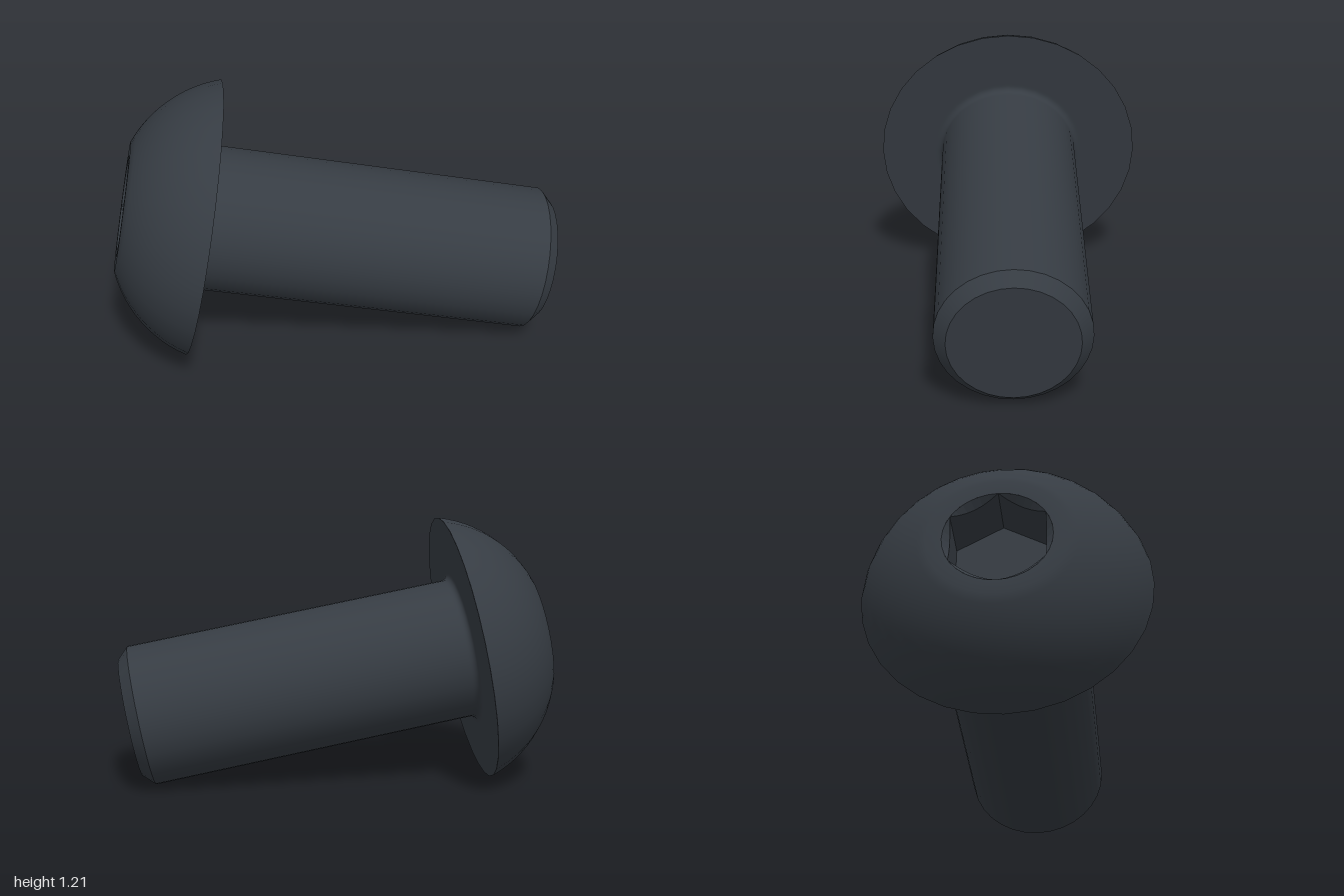
import * as THREE from 'three';

const SEGMENTS = 32;
const HEAD_R = 0.615, HEAD_H = 0.356, SHAFT_R = 0.324, LENGTH = 1.565;
const SOCKET_R = 0.2245, SOCKET_DEPTH = 0.215;

const darkSteel = new THREE.MeshStandardMaterial({ color: 0x363c43 });
darkSteel.name = 'darkSteel';

function addMesh(parent, name, geometry) {
  const mesh = new THREE.Mesh(geometry, darkSteel);
  mesh.name = name;
  parent.add(mesh);
}

// Surface of revolution; profile runs from the tip towards the head top
function turned(profile) {
  return new THREE.LatheGeometry(profile.map(([r, y]) => new THREE.Vector2(r, y)), SEGMENTS);
}

function arc(cx, cy, radius, from, to, steps) {
  return Array.from({ length: steps + 1 }, (_, i) => {
    const a = from + (to - from) * i / steps;
    return [cx + radius * Math.cos(a), cy + radius * Math.sin(a)];
  });
}

// Hex recess: conical lead-in, six flat walls and a flat floor
function socketGeometry() {
  const n = 36, apothem = SOCKET_R * Math.cos(Math.PI / 6), floorY = HEAD_H - SOCKET_DEPTH;
  const column = (i) => {
    const phi = i / n * Math.PI * 2;
    const inSide = phi % (Math.PI / 3);
    const corner = i % (n / 6) === 0;
    const r = corner ? SOCKET_R : apothem / Math.cos(inSide - Math.PI / 6);
    return [[SOCKET_R, HEAD_H], [r, HEAD_H - (SOCKET_R - r)], [r, floorY], [0, floorY]]
      .map(([rad, y]) => [rad * Math.sin(phi), y, rad * Math.cos(phi)]);
  };
  const positions = [];
  for (let i = 0; i < n; i++) {
    const p = column(i), q = column((i + 1) % n);
    for (let j = 0; j < 3; j++) {
      positions.push(...p[j], ...q[j], ...p[j + 1]);
      if (j < 2) positions.push(...q[j + 1], ...p[j + 1], ...q[j]);
    }
  }
  const geometry = new THREE.BufferGeometry();
  geometry.setAttribute('position', new THREE.Float32BufferAttribute(positions, 3));
  geometry.computeVertexNormals();
  return geometry;
}

export function createModel() {
  const model = new THREE.Group();
  model.name = 'buttonHeadBolt';

  const bolt = new THREE.Group();
  bolt.name = 'bolt';
  model.add(bolt);

  // Shaft tip and its chamfer
  const tipR = 0.273, chamferY = -LENGTH + 0.052;
  addMesh(bolt, 'shaftTip', turned([[0, -LENGTH], [tipR, -LENGTH]]));
  addMesh(bolt, 'tipChamfer', turned([[tipR, -LENGTH], [SHAFT_R, chamferY]]));

  // Shaft with a small fillet running into the underside of the head
  const f = 0.028;
  addMesh(bolt, 'shaft', turned([
    [SHAFT_R, chamferY], [SHAFT_R, -f - 0.01],
    ...arc(SHAFT_R + f, -f, f, Math.PI, Math.PI / 2, 5),
    [SHAFT_R + f + 0.01, 0],
  ]));
  addMesh(bolt, 'headUnderside', turned([[SHAFT_R + f + 0.01, 0], [HEAD_R, 0]]));

  // Domed head with a flat ring around the socket
  addMesh(bolt, 'headDome', turned([
    ...arc(0.0755, -0.1665, 0.565, 0.2994, 1.181, 12),
    [SOCKET_R, HEAD_H],
  ]));
  addMesh(bolt, 'hexSocket', socketGeometry());

  // Lay the bolt on its side, with one socket corner pointing down
  const up = new THREE.Vector3(-0.96, 0.19, -0.206).normalize();
  const down = new THREE.Vector3(0, -1, 0).projectOnPlane(up).normalize();
  const side = new THREE.Vector3().crossVectors(up, down);
  bolt.quaternion.setFromRotationMatrix(new THREE.Matrix4().makeBasis(side, up, down));
  bolt.position.set(-0.577, 0.605, -0.015);

  return model;
}
